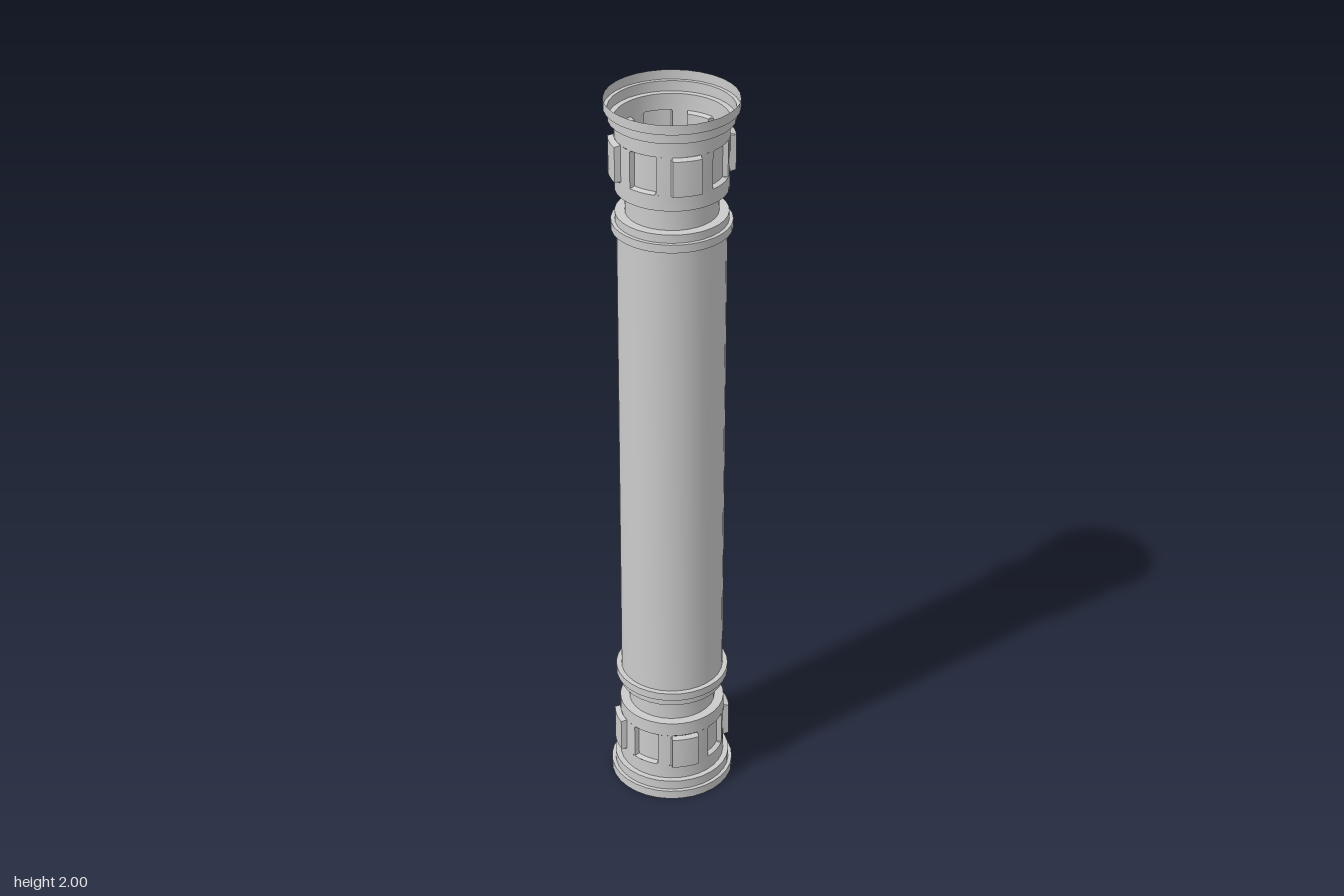
import * as THREE from 'three';
import { toCreasedNormals } from 'three/addons/utils/BufferGeometryUtils.js';

const SEGMENTS = 32;
const WALL = 0.141; // collar radius
const PANEL_LOW = 0.095, PANEL_HIGH = 0.195;
const rad = THREE.MathUtils.degToRad;

export function createModel() {
  const model = new THREE.Group();
  const material = new THREE.MeshStandardMaterial({ color: 0xcccccc, side: THREE.DoubleSide });

  function add(parent, name, geometry) {
    const mesh = new THREE.Mesh(toCreasedNormals(geometry, rad(25)), material);
    mesh.name = name;
    parent.add(mesh);
    return mesh;
  }

  // Open turned shell; the profile is given from the base up, or flipped for the top end
  function turned(parent, name, profile, flip = false) {
    let points = profile.map(([r, y]) => new THREE.Vector2(r, flip ? 2 - y : y));
    if (flip) points = points.reverse();
    return add(parent, name, new THREE.LatheGeometry(points, SEGMENTS));
  }

  // Curved panel with a narrow sloped border that leads from the wall to its own face
  function panelGeometry(centre, width, faceRadius, middle) {
    const cols = 6, rows = 3, h = PANEL_HIGH - PANEL_LOW, bevel = 0.004;
    const g = new THREE.CylinderGeometry(WALL, WALL, h, cols, rows, true);
    const ys = [h / 2, h / 2 - bevel, bevel - h / 2, -h / 2];
    const inner = width / 2 - rad(1.5);
    const p = g.attributes.position;
    for (let row = 0; row <= rows; row++) {
      for (let col = 0; col <= cols; col++) {
        const border = row === 0 || row === rows || col === 0 || col === cols;
        const across = col === 0 ? -width / 2 : col === cols ? width / 2
          : -inner + (2 * inner * (col - 1)) / (cols - 2);
        const r = border ? WALL : faceRadius;
        const a = centre + across;
        p.setXYZ(row * (cols + 1) + col, r * Math.sin(a), middle + ys[row], r * Math.cos(a));
      }
    }
    return g;
  }

  // Ornamented end: stepped rim, panelled collar, neck and ring
  function end(name, flip) {
    const group = new THREE.Group();
    group.name = name;
    model.add(group);

    turned(group, 'steppedRim', [
      [0.166, 0], [0.166, 0.025], [0.156, 0.025], [0.156, 0.052],
      [WALL, 0.052], [WALL, PANEL_LOW],
    ], flip);
    turned(group, 'neckAndRing', [
      [WALL, PANEL_HIGH], [WALL, 0.235], [0.116, 0.235], [0.116, 0.298],
      [WALL, 0.298], [WALL, 0.32], [0.151, 0.32], [0.151, 0.342], [0.137, 0.342],
    ], flip);

    // Collar: eight panels, raised and sunken by turns, with plain wall between
    const mid = (PANEL_LOW + PANEL_HIGH) / 2;
    const middle = flip ? 2 - mid : mid;
    const width = rad(30), gap = rad(15);
    for (let i = 0; i < 8; i++) {
      const centre = rad(5.2 + i * 45);
      const raised = i % 2 === 0;
      add(group, raised ? 'raisedPanel' : 'sunkenPanel',
        panelGeometry(centre, width, raised ? 0.156 : 0.128, middle));
      const wall = new THREE.CylinderGeometry(WALL, WALL, PANEL_HIGH - PANEL_LOW,
        2, 1, true, centre + width / 2, gap);
      add(group, 'collarWall', wall.translate(0, middle, 0));
    }
  }

  end('base', false);
  end('capital', true);
  turned(model, 'shaft', [[0.137, 0.342], [0.137, 1.658]]);
  return model;
}
